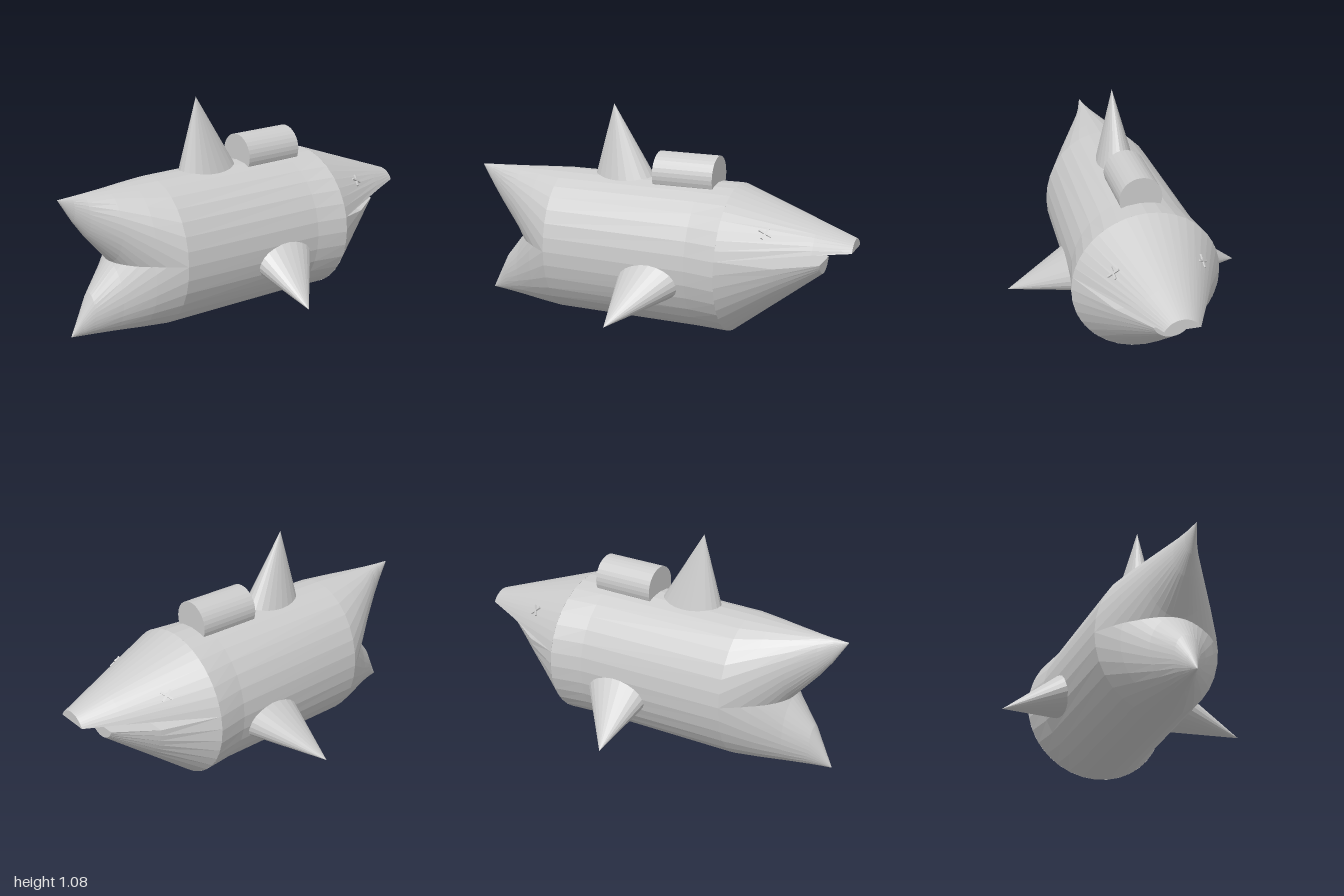
import * as THREE from 'three';

const mat = new THREE.MeshStandardMaterial({ color: 0xcccccc, flatShading: true, side: THREE.DoubleSide });

function add(parent, name, geometry) {
  const mesh = new THREE.Mesh(geometry, mat);
  mesh.name = name;
  parent.add(mesh);
  return mesh;
}

// Ring in the plane x: an ellipse arc from angle a0 to a1 (counterclockwise seen from +x)
function ring(x, cy, ry, rz, a0 = 0, a1 = Math.PI * 2, n = 32) {
  const pts = [];
  for (let i = 0; i <= n; i++) {
    const a = a0 + (a1 - a0) * i / n;
    pts.push([x, cy + ry * Math.sin(a), -rz * Math.cos(a)]);
  }
  return pts;
}

// Closed skin over rings ordered by increasing x, with flat end caps
function loft(rings, caps = true) {
  const pos = [];
  const n = rings[0].length;
  const tri = (...p) => p.forEach(v => pos.push(...v));
  for (let i = 0; i < rings.length - 1; i++) {
    for (let j = 0; j < n; j++) {
      const k = (j + 1) % n;
      const a = rings[i][j], b = rings[i][k], c = rings[i + 1][j], d = rings[i + 1][k];
      tri(a, b, c);
      tri(b, d, c);
    }
  }
  if (caps) {
    const s = rings[0], e = rings[rings.length - 1];
    for (let j = 1; j < n - 1; j++) {
      tri(s[0], s[j + 1], s[j]);
      tri(e[0], e[j], e[j + 1]);
    }
  }
  const g = new THREE.BufferGeometry();
  g.setAttribute('position', new THREE.Float32BufferAttribute(pos, 3));
  g.computeVertexNormals();
  return g;
}

// Jaw section: circle of radius r cut at height m, keeping the upper or lower side
function jawRing(x, cy, r, m, upper) {
  const a = Math.asin((m - cy) / r);
  return upper ? ring(x, cy, r, r, a, Math.PI - a, 20)
    : ring(x, cy, r, r, Math.PI - a, Math.PI * 2 + a, 20);
}

// Slanted cone with an elliptical foot, leaning in x and turned about the x axis
function finGeometry(base, apex, rx, rz) {
  const dx = apex[0] - base[0], dy = apex[1] - base[1], dz = apex[2] - base[2];
  const g = new THREE.ConeGeometry(1, 1, 24);
  g.translate(0, 0.5, 0);
  g.applyMatrix4(new THREE.Matrix4().set(
    rx, dx, 0, 0,
    0, Math.hypot(dy, dz), 0, 0,
    0, 0, rz, 0,
    0, 0, 0, 1));
  g.rotateX(Math.atan2(dz, dy));
  g.translate(...base);
  return g;
}

export function createModel() {
  const model = new THREE.Group();
  model.name = 'sharkShapedCraft';
  const cy = 0.366, r = 0.365;

  // Hull, slimmer towards the tail
  add(model, 'hull', loft([[-0.5, 0.3], [0.26, 0.332], [0.42, r]]
    .map(([x, rz]) => ring(x, cy, r, rz))));

  // Jaws: tapered cones split by the open mouth
  const jaw = (rows, end, upper) => loft(rows.map(([x, m]) => {
    const t = (x - 0.42) / (end - 0.42);
    return jawRing(x, cy + (0.428 - cy) * t, r + (0.093 - r) * t, m, upper);
  }));
  add(model, 'upperJaw', jaw([[0.42, 0.44], [0.83, 0.465], [1, 0.47]], 1, true));
  add(model, 'lowerJaw', jaw([[0.42, 0.44], [0.66, 0.392], [0.85, 0.395]], 0.85, false));

  // Tail lobes, rows of [x, bottom, top, half width]
  const lobes = {
    upperTailLobe: [[-1, 0.707, 0.711, 0.002], [-0.93, 0.592, 0.714, 0.028], [-0.87, 0.51, 0.716, 0.06],
      [-0.75, 0.37, 0.72, 0.137], [-0.625, 0.19, 0.726, 0.22], [-0.5, 0.001, 0.731, 0.3]],
    lowerTailLobe: [[-0.96, 0.036, 0.04, 0.002], [-0.91, 0.032, 0.14, 0.028], [-0.86, 0.028, 0.235, 0.06],
      [-0.75, 0.02, 0.37, 0.13], [-0.625, 0.01, 0.55, 0.22], [-0.5, 0.001, 0.731, 0.3]],
  };
  for (const [name, rows] of Object.entries(lobes)) {
    add(model, name, loft(rows.map(([x, b, t, w]) => ring(x, (b + t) / 2, (t - b) / 2, w))));
  }

  // Fins
  add(model, 'dorsalFin', finGeometry([-0.168, 0.654, 0], [-0.24, 1.08, 0], 0.186, 0.108));
  for (const s of [1, -1]) {
    add(model, s > 0 ? 'frontSideFin' : 'backSideFin',
      finGeometry([0.089, 0.296, s * 0.25], [-0.03, 0.138, s * 0.6], 0.19, 0.11));
  }

  // Drum on the back
  const drum = add(model, 'backDrum', new THREE.CylinderGeometry(0.104, 0.104, 0.31, 32));
  drum.rotation.z = Math.PI / 2;
  drum.position.set(0.16, 0.756, 0);

  // Small crossed eyes lying on the upper jaw
  for (const s of [1, -1]) {
    const eye = new THREE.Group();
    eye.name = s > 0 ? 'frontEye' : 'backEye';
    for (const turn of [0.6, -0.9]) {
      add(eye, 'eyeBar', new THREE.BoxGeometry(0.065, 0.01, 0.012)).rotation.z = -turn;
    }
    eye.position.set(0.62, 0.56, s * 0.21);
    eye.lookAt(0.74, 0.73, s * 0.42);
    model.add(eye);
  }
  return model;
}
